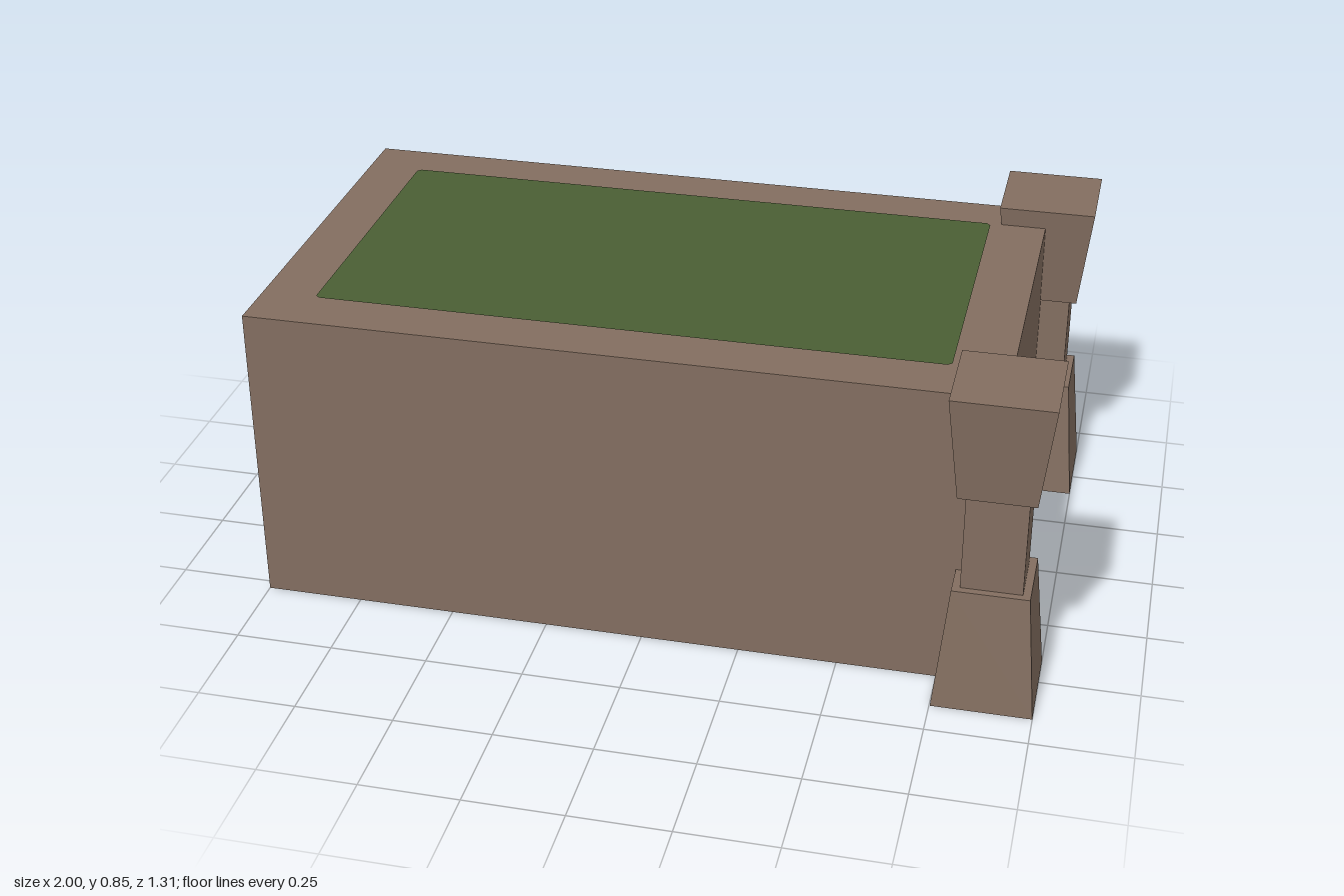
import * as THREE from 'three';

const stone = new THREE.MeshStandardMaterial({ color: 0x836e60, side: THREE.DoubleSide });
stone.name = 'brown stone';
const grass = new THREE.MeshStandardMaterial({ color: 0x4a5f34, side: THREE.DoubleSide });
grass.name = 'grass green';

const X0 = -1, X1 = 0.874, Z = 0.53, H = 0.8;

export function createModel() {
  const group = new THREE.Group();
  const add = (name, geometry, material, x, y, z) => {
    const mesh = new THREE.Mesh(geometry, material);
    mesh.name = name;
    mesh.position.set(x, y, z);
    group.add(mesh);
    return mesh;
  };

  // Thin shell: top, two long walls and one end wall; open at -x and below
  const midX = (X0 + X1) / 2, length = X1 - X0;
  add('topSlab', new THREE.PlaneGeometry(length, Z * 2).rotateX(-Math.PI / 2), stone, midX, H, 0);
  add('frontWall', new THREE.PlaneGeometry(length, H), stone, midX, H / 2, Z);
  add('backWall', new THREE.PlaneGeometry(length, H).rotateY(Math.PI), stone, midX, H / 2, -Z);
  add('endWall', new THREE.PlaneGeometry(Z * 2, H).rotateY(Math.PI / 2), stone, X1, H / 2, 0);

  // Grass panel with slightly clipped corners
  const hx = 0.795, hz = 0.402, c = 0.01;
  const outline = new THREE.Shape([
    [-hx + c, -hz], [hx - c, -hz], [hx, -hz + c], [hx, hz - c],
    [hx - c, hz], [-hx + c, hz], [-hx, hz - c], [-hx, -hz + c],
  ].map(([x, y]) => new THREE.Vector2(x, y)));
  add('grassPanel', new THREE.ShapeGeometry(outline).rotateX(-Math.PI / 2), grass, -0.065, H + 0.003, -0.003);

  // Square pillars: flared base, narrow shaft, flared capital; hollow below
  const profile = [
    [0.124, 0], [0.094, 0.32], [0.075, 0.32], [0.075, 0.577],
    [0.094, 0.577], [0.124, 0.85], [0, 0.85],
  ].map(([half, y]) => new THREE.Vector2(half * Math.SQRT2, y));
  const pillar = new THREE.LatheGeometry(profile, 4, Math.PI / 4).toNonIndexed();
  pillar.computeVertexNormals();
  add('frontPillar', pillar, stone, 0.876, 0, Z);
  add('backPillar', pillar, stone, 0.876, 0, -Z);

  return group;
}
